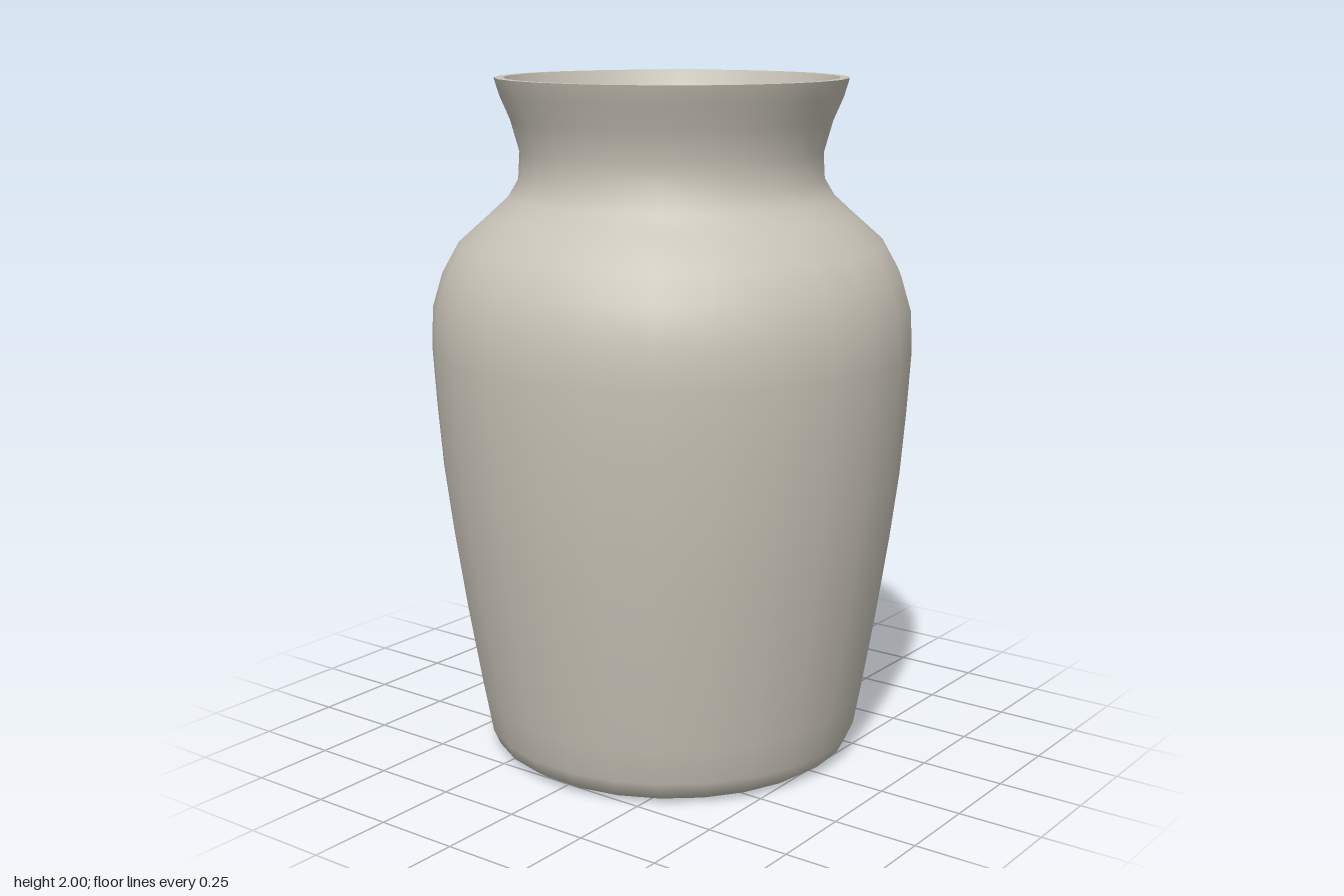
import * as THREE from 'three';

const SIDES = 26;

// Revolve a list of [radius, height] pairs, running underside -> outside -> rim -> inside
function revolve(name, profile, material) {
  const points = profile.map(([r, y]) => new THREE.Vector2(r, y));
  const mesh = new THREE.Mesh(new THREE.LatheGeometry(points, SIDES, -0.03), material);
  mesh.name = name;
  return mesh;
}

export function createModel() {
  const vase = new THREE.Group();
  vase.name = 'vase';
  const clay = new THREE.MeshStandardMaterial({ color: 0xc8c3b7 });
  clay.name = 'pale clay';

  // Tapered body with rounded foot, broad shoulder and flared neck;
  // the underside is slightly hollowed
  const outer = [
    [0, 0.03], [0.36, 0.025], [0.42, 0.01], [0.46, 0], [0.51, 0.005], [0.54, 0.025], [0.56, 0.07],
    [0.58, 0.18], [0.62, 0.42], [0.655, 0.66], [0.68, 0.86], [0.695, 1.05],
    [0.705, 1.22], [0.70, 1.34], [0.67, 1.44], [0.62, 1.53], [0.53, 1.61],
    [0.475, 1.66], [0.445, 1.71], [0.44, 1.79], [0.465, 1.88], [0.495, 1.95], [0.51, 2],
  ];
  vase.add(revolve('outerWall', outer, clay));

  // Flat lip joining the two walls
  vase.add(revolve('rim', [[0.51, 2], [0.483, 2]], clay));

  // Hollow inside, down to the floor
  const inner = [
    [0.483, 2], [0.465, 1.95], [0.435, 1.88], [0.41, 1.79], [0.415, 1.71],
    [0.45, 1.64], [0.51, 1.585], [0.60, 1.505], [0.645, 1.42], [0.67, 1.33],
    [0.675, 1.22], [0.65, 0.86], [0.59, 0.42], [0.55, 0.18], [0.53, 0.1],
    [0.48, 0.065], [0, 0.06],
  ];
  vase.add(revolve('innerWall', inner, clay));

  return vase;
}
